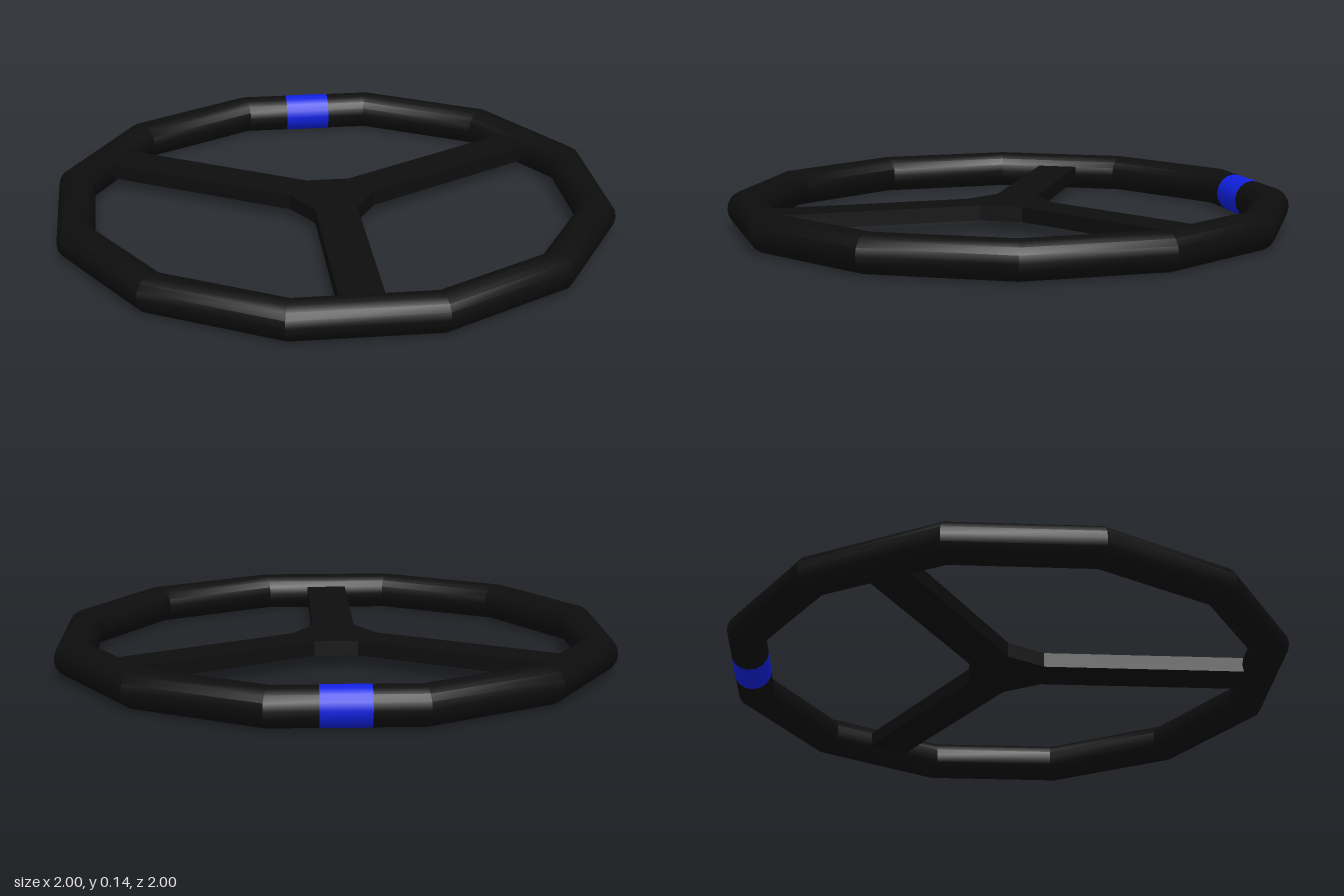
import * as THREE from 'three';
import { toCreasedNormals } from 'three/addons/utils/BufferGeometryUtils.js';

const SIDES = 12;            // straight segments of the rim
const TUBE_SIDES = 16;
const TUBE = 0.07;           // rim section radius
const FLAT = Math.cos(Math.PI / SIDES);
const RING = 1 / FLAT - TUBE; // centre line radius at the corners

export function createModel() {
  const group = new THREE.Group();
  const black = new THREE.MeshStandardMaterial({ color: 0x0d0d0d });
  const blue = new THREE.MeshStandardMaterial({ color: 0x1020e0 });

  const add = (name, geometry, material) => {
    const mesh = new THREE.Mesh(geometry, material);
    mesh.name = name;
    mesh.position.y = TUBE;
    group.add(mesh);
    return mesh;
  };

  // Twelve-sided rim with a round section, flats facing the axes
  const rim = new THREE.TorusGeometry(RING, TUBE, TUBE_SIDES, SIDES);
  rim.rotateZ(Math.PI / SIDES).rotateX(Math.PI / 2);
  add('rim', toCreasedNormals(rim, 0.45), black);

  // Coloured centre marker wrapped around the back segment
  const sleeve = new THREE.CylinderGeometry(TUBE + 0.001, TUBE + 0.001, 0.17, TUBE_SIDES, 1, true);
  sleeve.rotateY(Math.PI / 2).rotateZ(Math.PI / 2).scale(1, 1, FLAT);
  const marker = add('centreMarker', sleeve, blue);
  marker.position.x = 0.003;
  marker.position.z = -RING * FLAT;

  // Hub and three spokes as one flat plate, drawn spoke by spoke
  const halfWidth = 0.077, hubReach = 0.135, spokeReach = 0.93, thickness = 0.055;
  const outline = [];
  for (let i = 0; i < 3; i++) {
    const angle = -Math.PI / 2 + i * Math.PI * 2 / 3;
    for (const [along, across] of [
      [hubReach, -halfWidth], [spokeReach, -halfWidth],
      [spokeReach, halfWidth], [hubReach, halfWidth],
    ]) {
      outline.push(new THREE.Vector2(along, across).rotateAround(new THREE.Vector2(), angle));
    }
  }
  const plate = new THREE.ExtrudeGeometry(new THREE.Shape(outline), { depth: thickness, bevelEnabled: false });
  plate.translate(0, 0, -thickness / 2).rotateX(-Math.PI / 2);
  add('hubAndSpokes', plate, black);

  return group;
}
